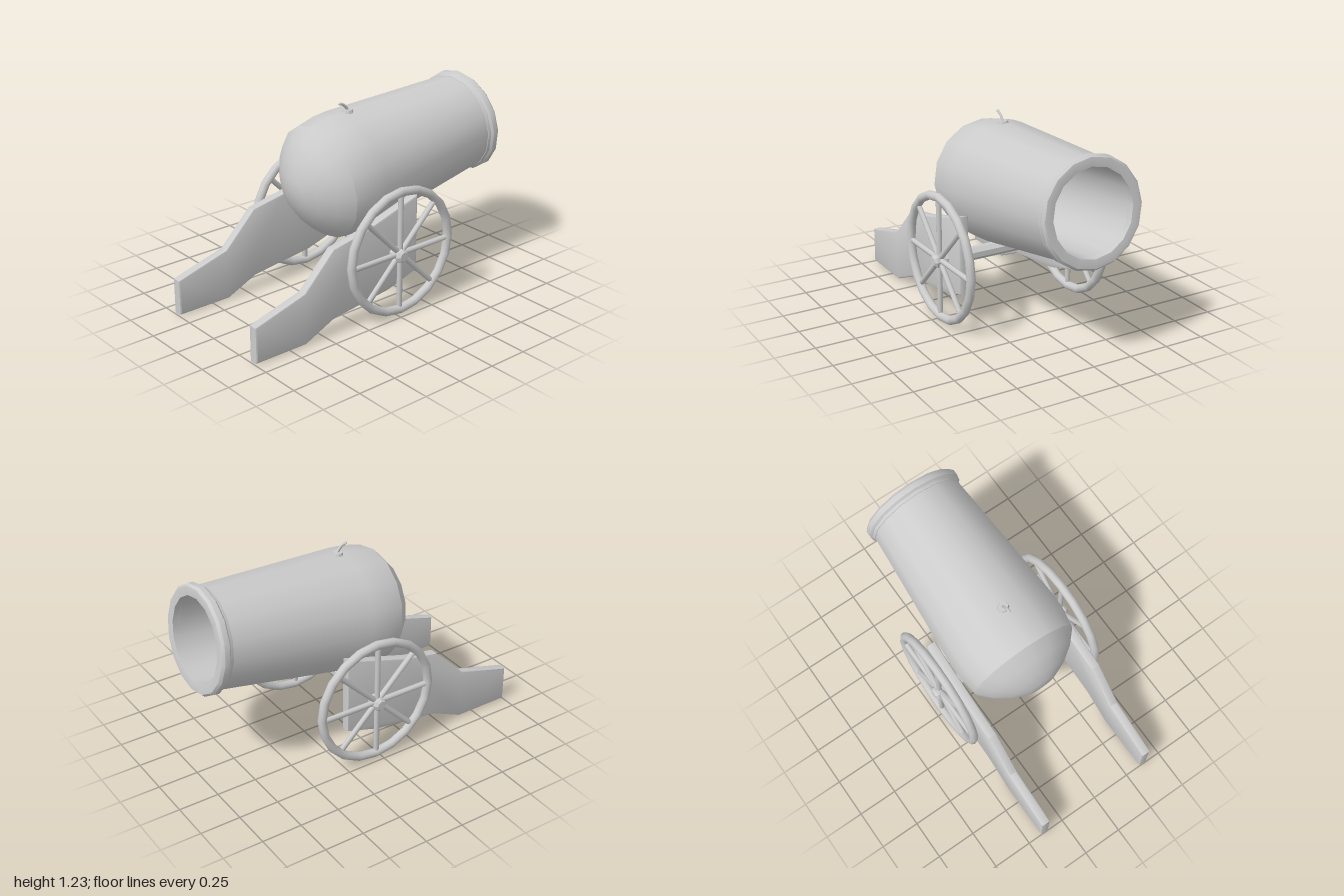
import * as THREE from 'three';
import { toCreasedNormals } from 'three/addons/utils/BufferGeometryUtils.js';

const material = new THREE.MeshStandardMaterial({ color: 0xcccccc });

function part(name, geometry, parent, crease = 0.5) {
  const mesh = new THREE.Mesh(toCreasedNormals(geometry, crease), material);
  mesh.name = name;
  parent.add(mesh);
  return mesh;
}

// Lathe from [radius, distance behind the muzzle] pairs, listed breech to muzzle
const turned = (pts, sides) =>
  new THREE.LatheGeometry(pts.map(([r, s]) => new THREE.Vector2(r, -s)), sides);

function addBarrel(model) {
  const barrel = new THREE.Group();
  barrel.name = 'barrel';
  barrel.position.set(0, 0.905, -0.965);
  barrel.rotation.x = -1.457;
  model.add(barrel);

  // Rounded breech, tapering tube and the bore inside it
  part('barrelBody', turned([
    [0, 1.382], [0.09, 1.372], [0.185, 1.333], [0.28, 1.268], [0.352, 1.19],
    [0.37, 1.07], [0.37, 0.97], [0.302, 0.05], [0.302, 0.01], [0.258, 0.01],
    [0.258, 1.05], [0, 1.1],
  ], 16), barrel);

  // Moulded ring round the mouth
  part('muzzleRing', turned([
    [0.29, 0.085], [0.308, 0.08], [0.312, 0.062], [0.325, 0.05],
    [0.325, 0.018], [0.312, 0.002], [0.29, 0], [0.258, 0.004], [0.258, 0.05],
  ], 16), barrel);
}

function addFuse(model) {
  const base = part('fuseBase', new THREE.CylinderGeometry(0.03, 0.04, 0.03, 10), model);
  base.position.set(0.005, 1.16, 0);
  const path = new THREE.CatmullRomCurve3([
    new THREE.Vector3(0.005, 1.165, -0.005), new THREE.Vector3(0.005, 1.19, 0.012),
    new THREE.Vector3(0.005, 1.21, 0.032), new THREE.Vector3(0.005, 1.22, 0.058),
  ]);
  part('fuse', new THREE.TubeGeometry(path, 6, 0.009, 6), model, 1.1);
  const tip = part('fuseTip', new THREE.SphereGeometry(0.009, 6, 4), model, 1.1);
  tip.position.set(0.005, 1.22, 0.058);
}

function addCheek(model, side) {
  // Outline as [z, y]; bevel rounds off the edges
  const outline = [
    [0.99, 0.015], [0.99, 0.228], [0.645, 0.325], [0.435, 0.535], [0.22, 0.575],
    [-0.195, 0.7], [-0.195, 0.225], [0.02, 0.16], [0.44, 0.107], [0.643, 0.015],
  ];
  const bevel = 0.012;
  const shape = new THREE.Shape(outline.map(([z, y]) => new THREE.Vector2(-z, y)));
  const geometry = new THREE.ExtrudeGeometry(shape, {
    depth: 0.036, bevelThickness: bevel, bevelSize: bevel, bevelOffset: -0.005, bevelSegments: 2,
  });
  geometry.translate(0, 0, -0.018).rotateY(Math.PI / 2);
  part(side > 0 ? 'leftCheek' : 'rightCheek', geometry, model).position.x = side * 0.379;
}

function addWheel(model, side) {
  const wheel = new THREE.Group();
  wheel.name = side > 0 ? 'leftWheel' : 'rightWheel';
  wheel.position.set(side * 0.453, 0.388, -0.022);
  wheel.rotation.y = side * Math.PI / 2;
  model.add(wheel);

  const rim = part('wheelRim', new THREE.TorusGeometry(0.378, 0.027, 10, 20), wheel, 0.8);
  rim.position.set(side * 0.011, 0.019, 0);

  // Four bars through the hub make eight spokes
  for (let i = 0; i < 4; i++) {
    const spoke = part('spokes', new THREE.CylinderGeometry(0.017, 0.017, 0.75, 8), wheel, 0.9);
    spoke.rotation.z = i * Math.PI / 4;
    spoke.position.set(side * 0.011, 0.019, 0).multiplyScalar(0.4);
  }

  // Chamfered hub cap on the outer face
  const hub = part('hub', turned([
    [0, 0.03], [0.042, 0.03], [0.042, -0.028], [0.028, -0.044], [0, -0.044],
  ], 8), wheel, 0.3);
  hub.rotation.x = Math.PI / 2;
}

export function createModel() {
  const model = new THREE.Group();
  model.name = 'cannon';
  addBarrel(model);
  addFuse(model);

  // Octagonal axle
  const axle = part('axle', new THREE.CylinderGeometry(0.042, 0.042, 0.94, 8), model, 0.3);
  axle.geometry.rotateY(Math.PI / 8);
  axle.rotation.z = Math.PI / 2;
  axle.position.set(0, 0.386, -0.022);

  for (const side of [1, -1]) {
    addCheek(model, side);
    addWheel(model, side);
  }
  return model;
}
